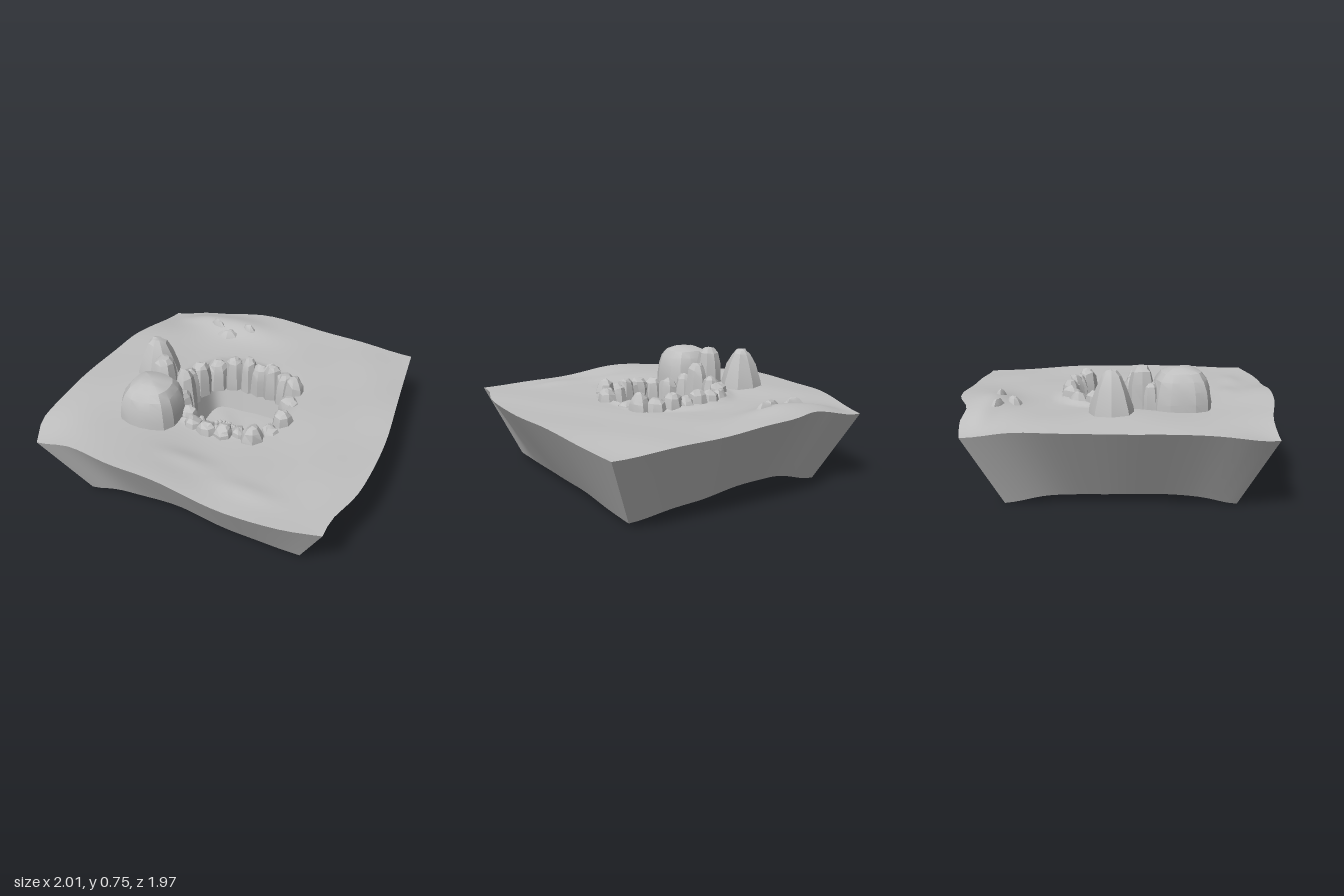
import * as THREE from 'three';
import { toCreasedNormals } from 'three/addons/utils/BufferGeometryUtils.js';

const stone = new THREE.MeshStandardMaterial({ color: 0xc0c0c0 });
stone.name = 'grey stone';

// Skins a sequence of closed loops (clockwise from above, running bottom -> outside -> top)
function loft(rings, crease) {
  const n = rings[0].length, index = [];
  for (let i = 0; i < rings.length - 1; i++)
    for (let j = 0; j < n; j++) {
      const k = (j + 1) % n;
      const a = i * n + j, b = i * n + k, c = (i + 1) * n + k, d = (i + 1) * n + j;
      index.push(a, c, b, a, d, c);
    }
  const geo = new THREE.BufferGeometry();
  geo.setAttribute('position', new THREE.Float32BufferAttribute(rings.flat(2), 3));
  geo.setIndex(index);
  return toCreasedNormals(geo, crease);
}

function seeded(seed) {
  let s = seed * 7919 + 17;
  return () => (s = (s * 16807) % 2147483647) / 2147483647;
}

const { lerp, smoothstep } = THREE.MathUtils;
const bump = (x, z, cx, cz, rx, rz) => Math.exp(-(((x - cx) / rx) ** 2) - ((z - cz) / rz) ** 2);

// Gently rolling surface of the land
function height(x, z) {
  const rim = smoothstep(z, 0.4, 0.95) + 0.6 * smoothstep(-z, 0.4, 0.95);
  const collar = 1 - smoothstep(Math.hypot(x + 0.02, z + 0.01), 0.36, 0.41);
  return 0.48
    + 0.055 * rim * Math.exp(-(((x + 0.2) / 0.36) ** 2))
    + 0.03 * bump(x, z, -0.68, 0.1, 0.36, 0.8)
    + 0.035 * bump(x, z, -0.28, -0.76, 0.24, 0.11)
    + 0.02 * bump(x, z, -0.58, -0.8, 0.15, 0.07)
    + 0.012 * bump(x, z, 0, 0.68, 0.16, 0.06)
    + 0.012 * bump(x, z, 0.4, 0.78, 0.16, 0.06)
    + 0.02 * collar
    - 0.05 * bump(x, z, -0.95, 0.85, 0.2, 0.2)
    - 0.05 * bump(x, z, -0.85, -0.9, 0.25, 0.25)
    - 0.025 * bump(x, z, 0.95, -0.95, 0.3, 0.4)
    + 0.004 * Math.sin(9 * x + 2 * z) * Math.sin(8 * z - 3 * x);
}

// Outline of the land, one list of x, z points per side
const sides = [
  [[-0.83, -0.88], [-0.62, -0.91], [-0.45, -0.9], [-0.18, -0.98], [0.1, -0.985], [0.55, -0.965], [0.94, -0.94]],
  [[0.94, -0.94], [0.96, -0.6], [0.98, -0.3], [1, 0.05], [0.99, 0.35], [0.96, 0.58], [0.89, 0.8], [0.88, 0.93]],
  [[0.88, 0.93], [0.65, 0.97], [0.4, 0.98], [0, 0.95], [-0.35, 0.92], [-0.7, 0.84], [-0.93, 0.83]],
  [[-0.93, 0.83], [-1, 0.66], [-1, 0.45], [-0.99, 0.1], [-0.96, -0.2], [-0.94, -0.4], [-0.87, -0.65], [-0.83, -0.88]],
];
// Corners of the underside, in the same order
const corners = [[-0.66, -0.67], [0.72, -0.72], [0.71, 0.72], [-0.71, 0.65]];
const SEG = 24, FLOOR = 0.17;

function landGeometry() {
  const outline = sides.flatMap((pts) => {
    const curve = new THREE.CatmullRomCurve3(pts.map(([x, z]) => new THREE.Vector3(x, 0, z)));
    return curve.getSpacedPoints(SEG).slice(0, SEG).map((p) => [p.x, p.z]);
  });
  const base = corners.flatMap(([x, z], i) => {
    const [nx, nz] = corners[(i + 1) % 4];
    return Array.from({ length: SEG }, (_, j) => [lerp(x, nx, j / SEG), lerp(z, nz, j / SEG)]);
  });
  const pit = (half) => outline.map((_, j) => {
    const a = -0.75 * Math.PI + (j / outline.length) * 2 * Math.PI;
    const c = Math.cos(a), s = Math.sin(a);
    const r = half / (Math.abs(c) ** 6 + Math.abs(s) ** 6) ** (1 / 6);
    return [0.03 + r * c, 0.01 + r * s];
  });
  const rings = [];
  // Underside, with tapered walls rising from its edge
  for (const s of [0, 0.3, 0.6, 0.85, 1])
    rings.push(base.map(([x, z], j) => {
      const edge = height(...outline[j]) - 0.437;
      return [x * s, lerp(0.06, edge, s ** 3), z * s];
    }));
  // Top surface, from the outline in to the pit
  const inner = pit(0.33), rows = 22;
  for (let i = 0; i <= rows; i++)
    rings.push(outline.map(([x, z], j) => {
      const px = lerp(x, inner[j][0], i / rows);
      const pz = lerp(z, inner[j][1], i / rows);
      return [px, height(px, pz), pz];
    }));
  // Pit wall and floor
  const foot = pit(0.27);
  for (const s of [1, 0.7, 0.35, 0])
    rings.push(foot.map(([x, z]) => {
      const px = 0.03 + (x - 0.03) * s, pz = 0.01 + (z - 0.01) * s;
      return [px, FLOOR + 0.005 * Math.sin(25 * px) * Math.sin(22 * pz), pz];
    }));
  return loft(rings, 0.6);
}

const PROFILES = {
  round: [[0, 0], [1, 0], [0.98, 0.3], [0.9, 0.65], [0.72, 0.88], [0.42, 0.98], [0, 1]],
  domed: [[0, 0], [1, 0], [0.99, 0.3], [0.93, 0.55], [0.83, 0.75], [0.65, 0.9], [0.35, 0.98], [0, 1]],
  pointed: [[0, 0], [1, 0], [0.9, 0.3], [0.65, 0.65], [0.4, 0.9], [0.22, 0.98], [0, 1]],
};

// Irregular faceted rock standing between heights y0 and y1
function rock(name, x, z, w, d, y0, y1, { profile = 'round', n = 9, power = 2.4, rough = 0.12, yaw = 0, seed = 1, crease = 0.4 } = {}) {
  const rand = seeded(seed);
  const lobes = Array.from({ length: n }, () => 1 - rough * rand());
  const rings = PROFILES[profile].map(([r, t]) => lobes.map((lobe, j) => {
    const a = (j / n) * 2 * Math.PI, c = Math.cos(a), s = Math.sin(a);
    const k = r * lobe * (1 - rough * 0.6 * rand()) / (Math.abs(c) ** power + Math.abs(s) ** power) ** (1 / power);
    const lift = r > 0 && t > 0 ? (rand() - 0.7) * rough * 0.5 : 0;
    return [c * k * w / 2, (t + lift) * (y1 - y0), s * k * d / 2];
  }));
  const mesh = new THREE.Mesh(loft(rings, crease), stone);
  mesh.name = name;
  mesh.position.set(x, y0, z);
  mesh.rotation.y = yaw;
  return mesh;
}

function createRocks() {
  const group = new THREE.Group();
  group.name = 'rocks';
  // Boulders beside the pit
  group.add(
    rock('largeBoulder', -0.39, 0.35, 0.37, 0.37, 0.46, 0.74, { profile: 'domed', n: 16, power: 3.4, rough: 0.04, seed: 3 }),
    rock('pointedBoulder', -0.56, -0.06, 0.31, 0.29, 0.45, 0.755, { profile: 'pointed', n: 8, rough: 0.08, seed: 5 }),
    rock('tallStone', -0.42, 0.12, 0.18, 0.18, 0.45, 0.755, { n: 8, seed: 8 }),
    rock('lowStone', -0.46, 0.17, 0.14, 0.13, 0.45, 0.66, { n: 7, seed: 9 }),
  );
  // Stones around the rim of the pit: x, z, top height, width along the rim
  const rim = [
    [-0.22, -0.25, 0.55, 0.19], [-0.12, -0.3, 0.57, 0.16], [-0.02, -0.31, 0.585, 0.15], [0.07, -0.3, 0.555, 0.16],
    [0.15, -0.29, 0.58, 0.16], [0.25, -0.27, 0.555, 0.17], [0.33, -0.21, 0.59, 0.17], [0.345, -0.08, 0.515, 0.17],
    [0.37, 0.12, 0.56, 0.18], [0.33, 0.23, 0.52, 0.15], [0.26, 0.34, 0.575, 0.19], [0.17, 0.33, 0.53, 0.13],
    [0.09, 0.37, 0.555, 0.16], [-0.02, 0.38, 0.545, 0.17], [-0.12, 0.35, 0.535, 0.16], [-0.19, 0.27, 0.545, 0.17],
    [-0.27, 0.18, 0.58, 0.17], [-0.3, 0.08, 0.66, 0.18], [-0.33, -0.03, 0.59, 0.18], [-0.3, -0.15, 0.57, 0.18],
  ];
  rim.forEach(([x, z, top, w], i) => group.add(rock('rimStone', x, z, w, 0.16, 0.34, top, {
    profile: i % 3 ? 'round' : 'domed', n: 7, rough: 0.2, yaw: Math.atan2(x, z), seed: 20 + i, crease: 0.3,
  })));
  return group;
}

export function createModel() {
  const model = new THREE.Group();
  model.name = 'rockyPitIsland';
  const land = new THREE.Mesh(landGeometry(), stone);
  land.name = 'land';
  const rocks = createRocks();
  // Miniature ring of the same rocks on the pit floor
  const smallRocks = rocks.clone();
  smallRocks.name = 'smallRocks';
  smallRocks.scale.setScalar(0.25);
  smallRocks.position.set(-0.1, FLOOR - 0.46 * 0.25, 0);
  model.add(land, rocks, smallRocks);
  // Half-buried slabs on the rear mound
  [[-0.31, -0.64, 0.24, 0.14, 0.545, 0.4], [-0.19, -0.73, 0.18, 0.1, 0.565, -0.3], [-0.42, -0.72, 0.24, 0.08, 0.56, -0.4]]
    .forEach(([x, z, w, d, top, yaw], i) => model.add(rock('moundSlab', x, z, w, d, 0.46, top,
      { profile: 'pointed', n: 7, rough: 0.2, yaw, seed: 60 + i })));
  return model;
}
